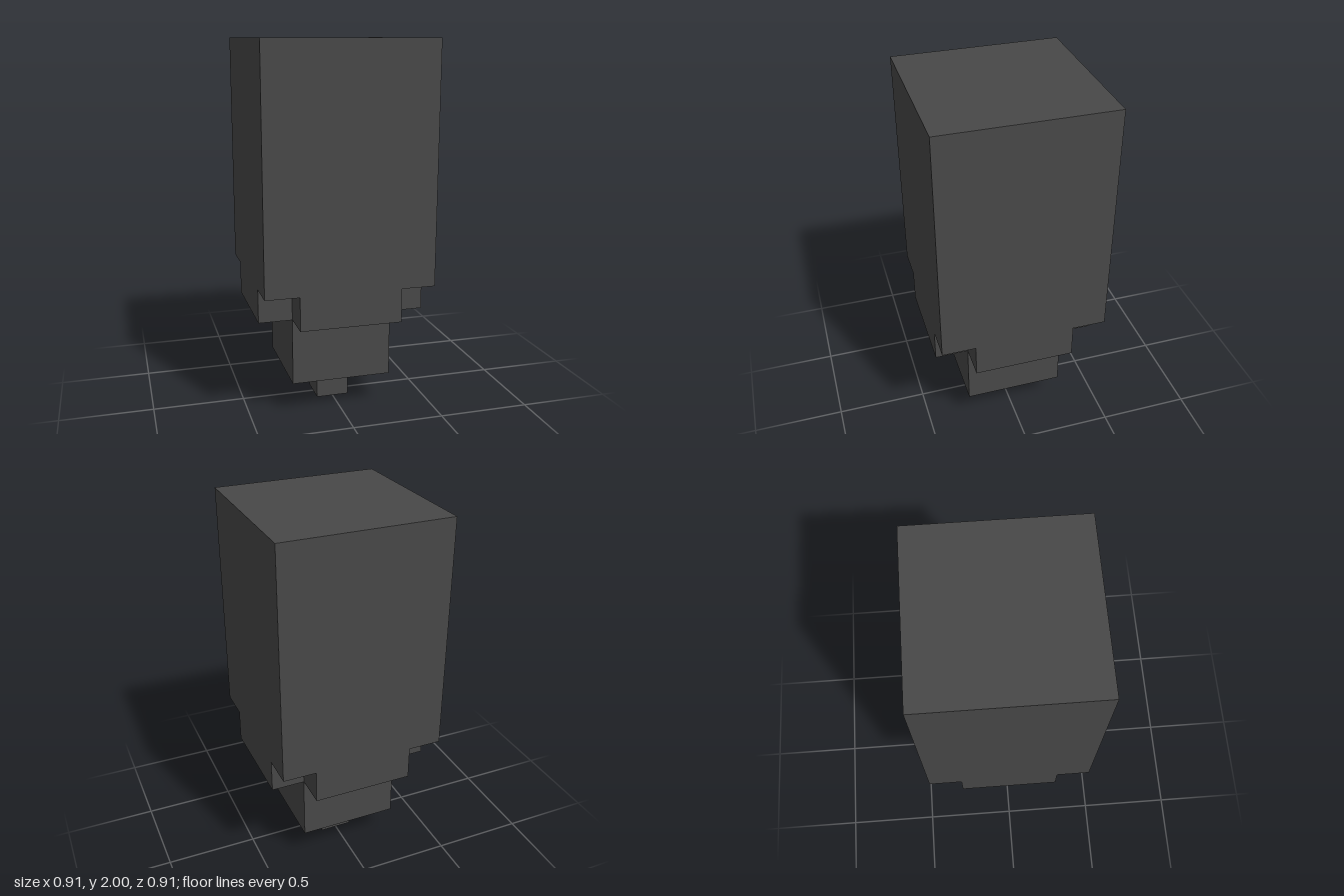
import * as THREE from 'three';

const U = 2 / 11; // one block unit

export function createModel() {
  const group = new THREE.Group();
  const darkGrey = new THREE.MeshStandardMaterial({ color: 0x484848 });
  darkGrey.name = 'darkGrey';

  function add(name, geometry, y) {
    const mesh = new THREE.Mesh(geometry, darkGrey);
    mesh.name = name;
    mesh.position.y = y * U;
    group.add(mesh);
  }
  // square block from y0 to y1, in units
  function block(name, width, y0, y1) {
    add(name, new THREE.BoxGeometry(width * U, (y1 - y0) * U, width * U), (y0 + y1) / 2);
  }

  block('tip', 1, 0, 1);
  block('lowerBlock', 3, 1, 3);

  // cross-shaped step with notched corners
  const a = 1.5 * U, b = 2.5 * U;
  const cross = new THREE.Shape([
    [a, b], [-a, b], [-a, a], [-b, a], [-b, -a], [-a, -a],
    [-a, -b], [a, -b], [a, -a], [b, -a], [b, a], [a, a],
  ].map(([x, y]) => new THREE.Vector2(x, y)));
  add('crossStep', new THREE.ExtrudeGeometry(cross, { depth: U, bevelEnabled: false }).rotateX(-Math.PI / 2), 3);

  block('mainBlock', 5, 4, 11);
  return group;
}
